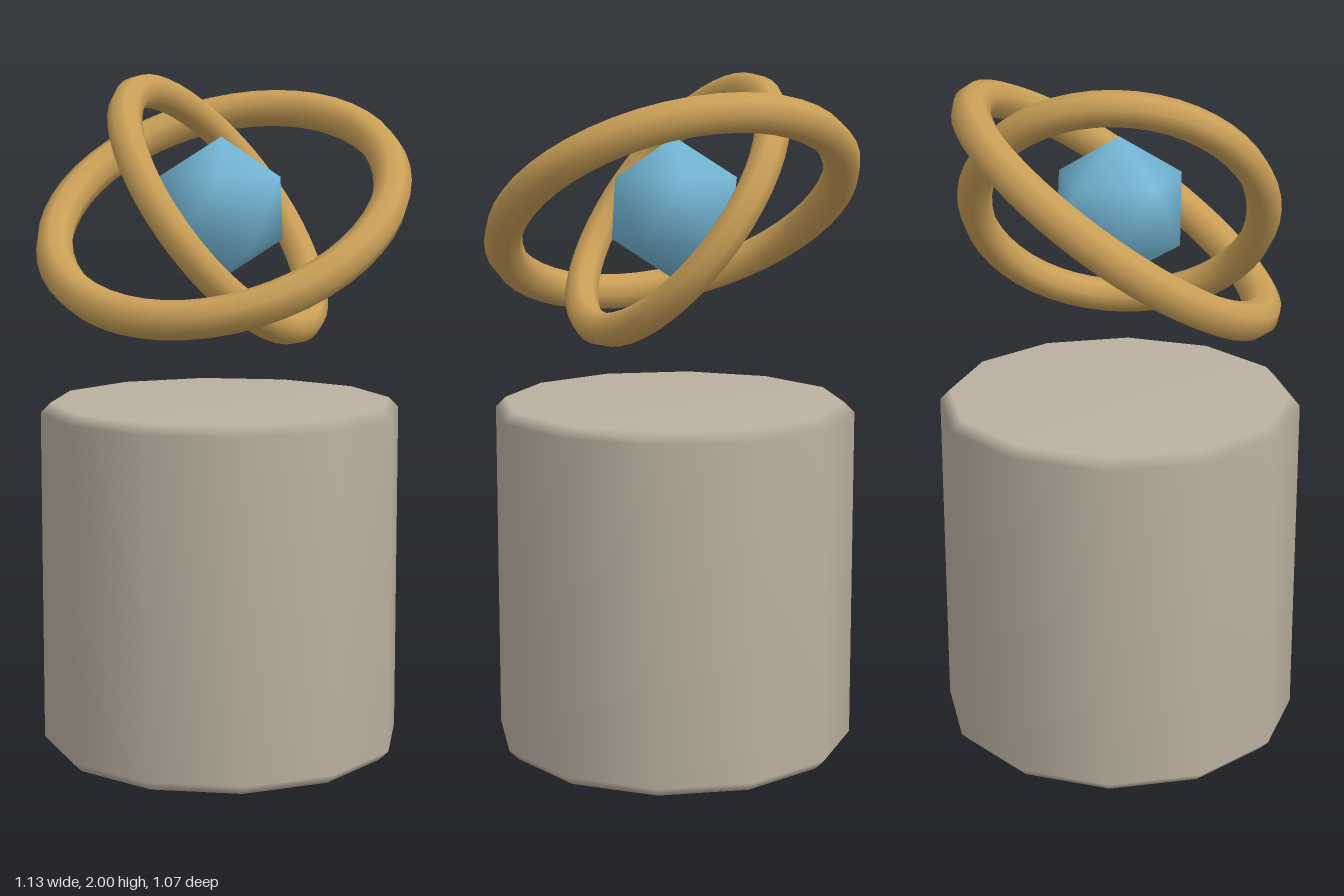
import * as THREE from 'three';
import { mergeVertices } from 'three/addons/utils/BufferGeometryUtils.js';

const material = (name, color) => {
  const m = new THREE.MeshStandardMaterial({ color });
  m.name = name;
  return m;
};

export function createModel() {
  const stone = material('stone', 0xbcb1a1);
  const gold = material('gold', 0xcba058);
  const blue = material('crystalBlue', 0x76b9d9);
  const model = new THREE.Group();
  model.name = 'crystalPedestal';
  const centreY = 1.612;

  const add = (name, geometry, mat, y = 0) => {
    const mesh = new THREE.Mesh(geometry, mat);
    mesh.name = name;
    mesh.position.y = y;
    model.add(mesh);
    return mesh;
  };

  // Twelve-sided pedestal with softly shaded bevels
  const profile = [[0, 0], [0.505, 0], [0.535, 0.03], [0.535, 1.015], [0.505, 1.045], [0, 1.045]]
    .map(([r, y]) => new THREE.Vector2(r, y));
  add('pedestal', new THREE.LatheGeometry(profile, 12), stone);

  // Floating rings, laid flat and then tilted
  const ring = (radius, tube) => new THREE.TorusGeometry(radius, tube, 8, 48).rotateX(Math.PI / 2);
  add('outerRing', ring(0.508, 0.056), gold, centreY).rotation.x = THREE.MathUtils.degToRad(35);
  add('innerRing', ring(0.415, 0.05), gold, centreY).rotation.z = THREE.MathUtils.degToRad(-55);

  // Icosahedral crystal standing on a point, with shared smooth normals
  const ico = new THREE.IcosahedronGeometry(0.208, 0);
  ico.deleteAttribute('normal');
  ico.deleteAttribute('uv');
  const gem = mergeVertices(ico, 1e-4);
  gem.rotateZ(-Math.atan(2 / (1 + Math.sqrt(5))));
  gem.computeVertexNormals();
  add('crystal', gem, blue, centreY);

  return model;
}
